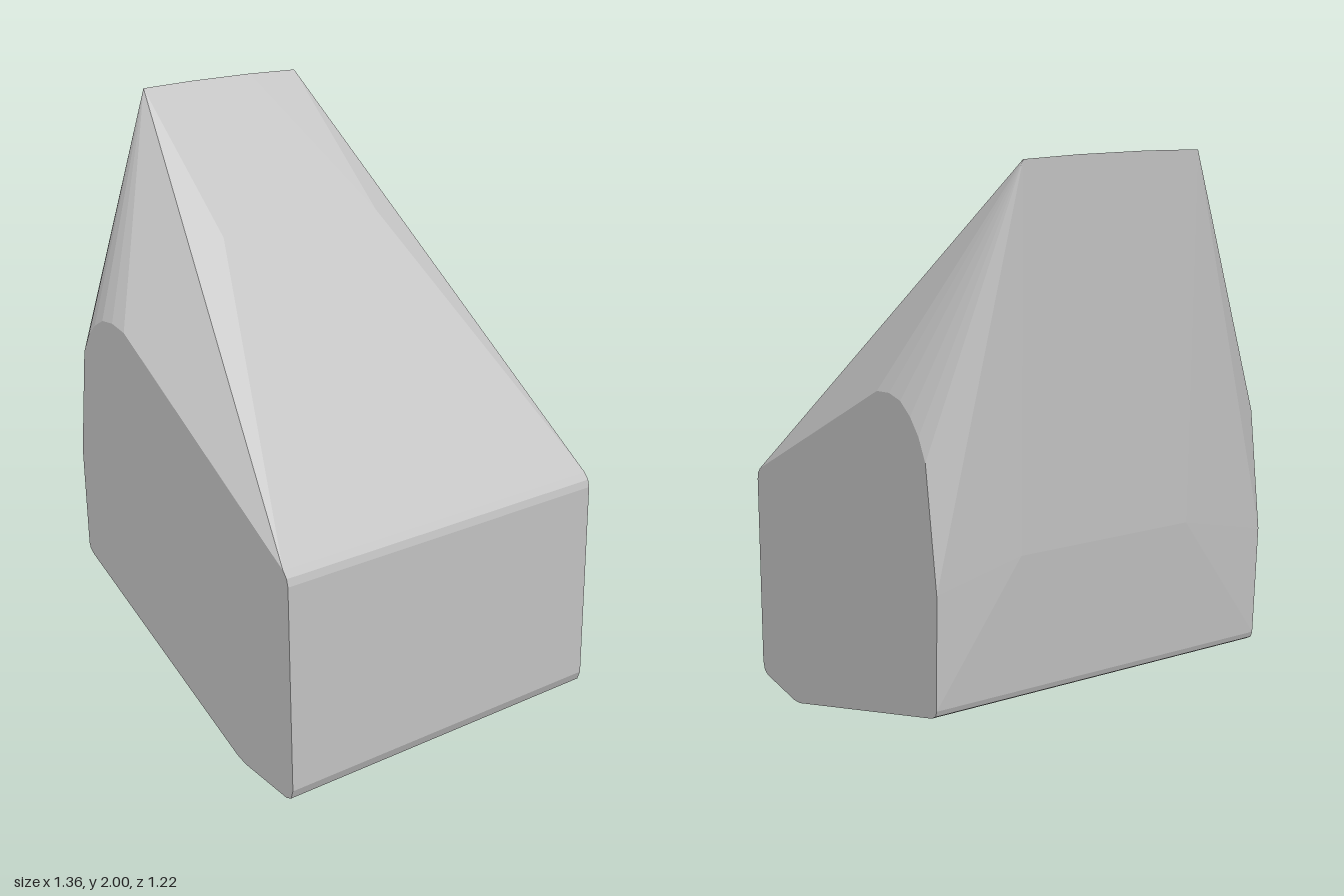
import * as THREE from 'three';
import { ConvexGeometry } from 'three/addons/geometries/ConvexGeometry.js';

export function createModel() {
  const stone = new THREE.MeshStandardMaterial({ color: 0xc4c4c4 });
  stone.name = 'light grey';

  // outline of the two flat side walls, with rounded corners
  const wall = [
    [-0.652, 0.37], [-0.645, 0.35], [-0.62, 0.335],
    [0.35, 0.008], [0.40, 0], [0.64, 0.01], [0.665, 0.022], [0.676, 0.055],
    [0.66, 0.765], [0.653, 0.79], [0.635, 0.81],
    [-0.30, 1.285], [-0.38, 1.295], [-0.45, 1.285], [-0.51, 1.25],
    [-0.56, 1.2], [-0.60, 1.13], [-0.66, 0.74],
  ];
  // narrower upper ridge: back foot, peak and the bend in the slope
  const ridge = [[-0.68, 0.82], [-0.68, 1.995], [-0.18, 1.585]];

  const points = [];
  const addOutline = (outline, z) =>
    outline.forEach(([x, y]) => points.push(new THREE.Vector3(x, y, z)));
  addOutline(wall, 0.61);
  addOutline(wall, -0.61);
  addOutline(ridge, 0.29);
  addOutline(ridge, -0.33);
  // faint crown in the middle of the top edge
  addOutline([[-0.68, 2]], 0.1);
  addOutline([[-0.68, 2]], -0.14);

  const block = new THREE.Mesh(new ConvexGeometry(points), stone);
  block.name = 'taperedBlock';

  const model = new THREE.Group();
  model.name = 'wedgeBlock';
  model.add(block);
  return model;
}
